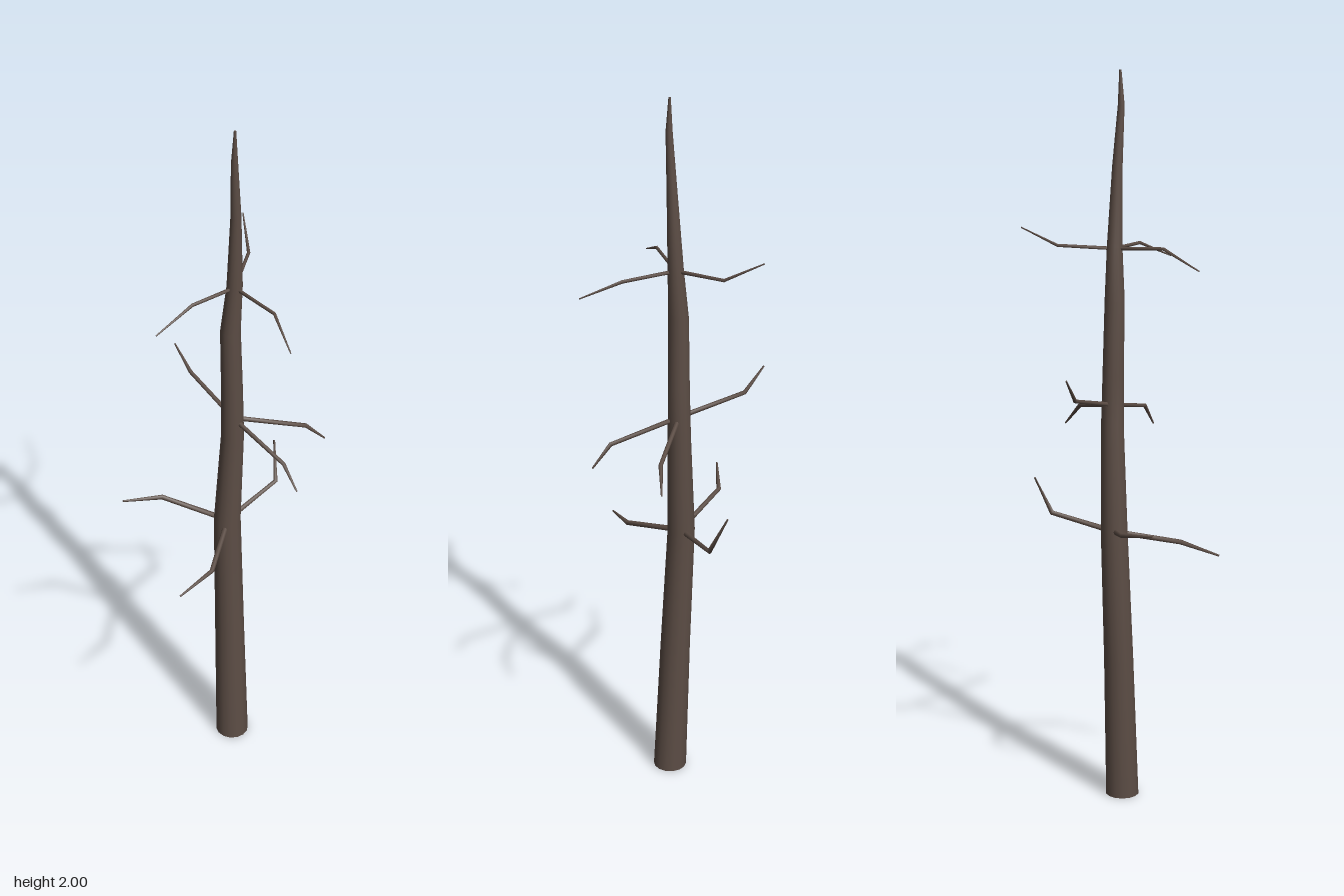
import * as THREE from 'three';

const V = (x, y, z) => new THREE.Vector3(x, y, z);

// Tapered limb through stations [x, y, z, radius]; level = keep rings horizontal
function limb(stations, sides, level) {
  const pts = stations.map(s => V(s[0], s[1], s[2]));
  const pos = [], idx = [];
  const last = pts.length - 1;
  const overall = pts[last].clone().sub(pts[0]).normalize();
  const ref = level ? V(0, 0, 1) : Math.abs(overall.y) > 0.9 ? V(1, 0, 0) : V(0, 1, 0);

  const ring = i => {
    const before = pts[i].clone().sub(pts[Math.max(i - 1, 0)]).normalize();
    const after = pts[Math.min(i + 1, last)].clone().sub(pts[i]).normalize();
    const dir = level ? V(0, 1, 0) : before.add(after).normalize();
    const u = ref.clone().cross(dir).normalize();
    const w = dir.clone().cross(u);
    const start = pos.length / 3;
    for (let k = 0; k < sides; k++) {
      const a = (k / sides) * Math.PI * 2;
      const p = pts[i].clone()
        .addScaledVector(u, Math.cos(a) * stations[i][3])
        .addScaledVector(w, Math.sin(a) * stations[i][3]);
      pos.push(p.x, p.y, p.z);
    }
    return start;
  };

  // Side walls
  const rings = pts.map((_, i) => ring(i));
  for (let i = 0; i < last; i++) {
    for (let k = 0; k < sides; k++) {
      const n = (k + 1) % sides;
      const a = rings[i] + k, b = rings[i] + n, c = rings[i + 1] + n, d = rings[i + 1] + k;
      idx.push(a, b, c, a, c, d);
    }
  }
  // End caps with their own rings so the rims stay sharp
  for (const i of [0, last]) {
    const s = ring(i);
    for (let k = 1; k < sides - 1; k++) {
      if (i === 0) idx.push(s, s + k + 1, s + k);
      else idx.push(s, s + k, s + k + 1);
    }
  }
  const g = new THREE.BufferGeometry();
  g.setAttribute('position', new THREE.Float32BufferAttribute(pos, 3));
  g.setIndex(idx);
  g.computeVertexNormals();
  return g;
}

export function createModel() {
  const bark = new THREE.MeshStandardMaterial({ color: 0x5c4d45 });
  bark.name = 'bark';
  const tree = new THREE.Group();
  tree.name = 'deadTree';
  const add = (name, geometry) => {
    const mesh = new THREE.Mesh(geometry, bark);
    mesh.name = name;
    tree.add(mesh);
  };

  // Crooked trunk, thinning to a point
  add('trunk', limb([
    [-0.008, 0, 0.009, 0.046],
    [-0.007, 0.4, -0.006, 0.041],
    [-0.004, 0.77, -0.022, 0.037],
    [0.008, 1.06, -0.014, 0.031],
    [0.006, 1.2, -0.013, 0.029],
    [0.001, 1.4, -0.013, 0.027],
    [0.008, 1.54, -0.004, 0.021],
    [0.006, 1.75, 0.005, 0.014],
    [-0.002, 1.91, 0.011, 0.009],
    [0, 2, 0.01, 0.003],
  ], 14, true));

  // Whorls of three bent branches: root on the trunk axis, then [knee, tip] pairs
  const whorls = [
    { name: 'lowerBranch', root: [-0.004, 0.765, -0.02], r: 0.0075, branches: [
      [[-0.133, 0.81, -0.153], [-0.246, 0.832, -0.171]],
      [[-0.133, 0.73, 0.105], [-0.246, 0.708, 0.126]],
      [[0.18, 0.795, -0.062], [0.203, 0.9, -0.106]],
    ] },
    { name: 'middleBranch', root: [0.009, 1.115, -0.013], r: 0.0065, branches: [
      [[0.187, 1.07, 0.07], [0.244, 1.01, 0.078]],
      [[0.045, 1.07, 0.178], [0.054, 1.008, 0.229]],
      [[-0.011, 1.162, -0.195], [-0.026, 1.228, -0.25]],
    ] },
    { name: 'upperBranch', root: [0.008, 1.535, -0.004], r: 0.005, branches: [
      [[-0.133, 1.546, 0.02], [-0.244, 1.498, 0.027]],
      [[0.117, 1.546, -0.108], [0.16, 1.602, -0.203]],
      [[0.035, 1.528, 0.14], [0.013, 1.48, 0.249]],
    ] },
  ];
  for (const { name, root, r, branches } of whorls) {
    branches.forEach(([knee, tip], i) => add(name + (i + 1), limb([
      [...root, r], [...knee, r * 0.9], [...tip, r * 0.35],
    ], 6, false)));
  }
  return tree;
}
